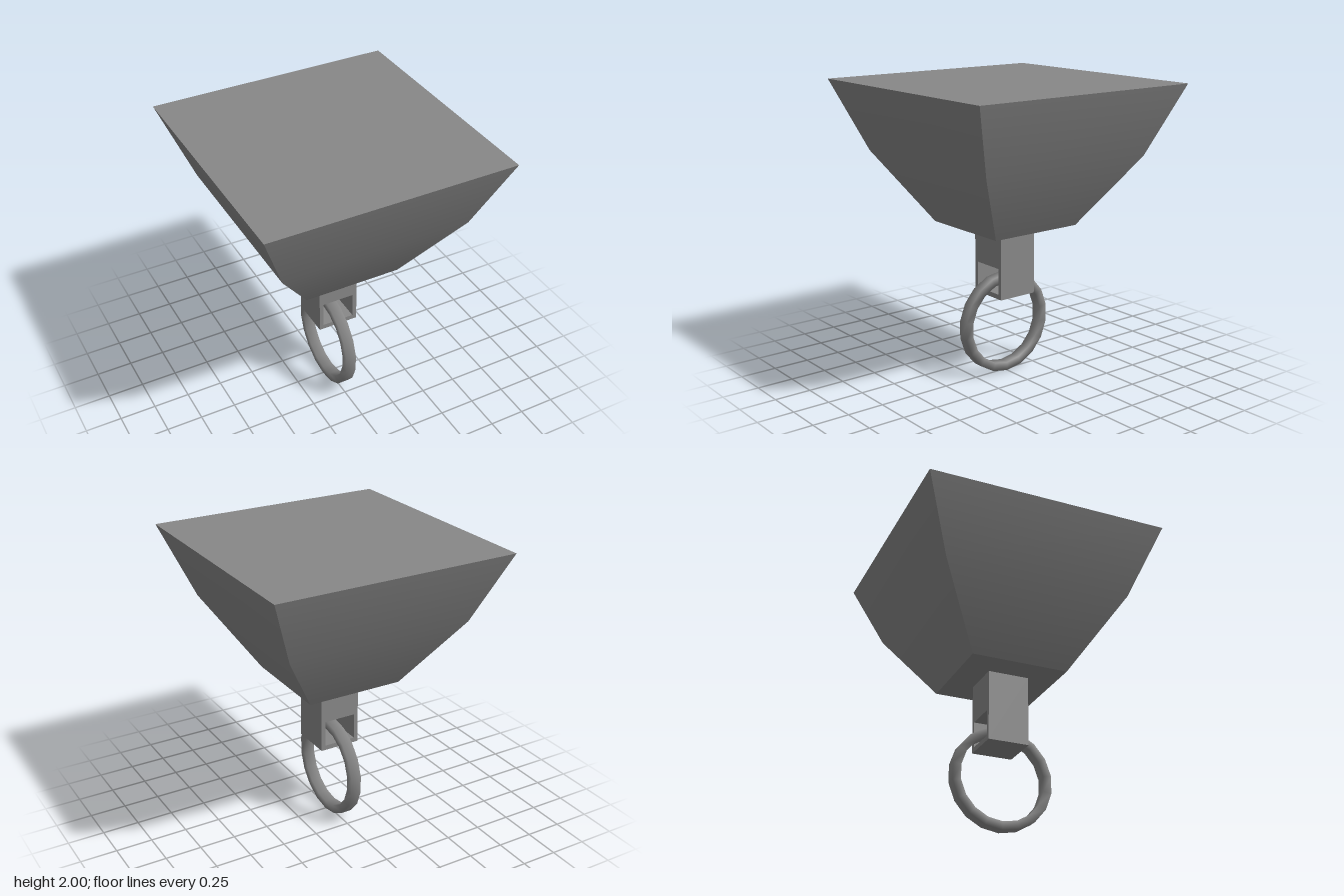
import * as THREE from 'three';
import { mergeVertices } from 'three/addons/utils/BufferGeometryUtils.js';

const material = new THREE.MeshStandardMaterial({ color: 0x888888 });

function addPart(group, name, geometry) {
  const mesh = new THREE.Mesh(geometry, material);
  mesh.name = name;
  group.add(mesh);
}

// Square block flaring upwards, with one soft bend in its sides
function headGeometry() {
  const bottom = 1.047, bend = 1.525, top = 2;
  const rings = new THREE.CylinderGeometry(0.835 * Math.SQRT2, 0.335 * Math.SQRT2, 2, 4, 2);
  rings.rotateY(Math.PI / 4);
  const geo = rings.toNonIndexed();
  const pos = geo.attributes.position;
  const scale = 0.645 / 0.585; // widens the middle ring to the bend
  for (let i = 0; i < pos.count; i++) {
    const y = pos.getY(i);
    if (Math.abs(y) < 0.01) pos.setXYZ(i, pos.getX(i) * scale, bend, pos.getZ(i) * scale);
    else pos.setY(i, y > 0 ? top : bottom);
  }
  geo.computeVertexNormals();

  // Share one normal across the bend, keeping the four corners sharp
  const normal = geo.attributes.normal;
  const tilt = (Math.atan2(0.19, top - bend) + Math.atan2(0.31, bend - bottom)) / 2;
  for (let i = 0; i < pos.count; i++) {
    if (Math.abs(pos.getY(i) - bend) > 0.01) continue;
    const nx = Math.round(normal.getX(i)), nz = Math.round(normal.getZ(i));
    normal.setXYZ(i, nx * Math.cos(tilt), -Math.sin(tilt), nz * Math.cos(tilt));
  }
  return geo;
}

function rectangle(Type, x0, x1, y0, y1) {
  return new Type([[x0, y0], [x1, y0], [x1, y1], [x0, y1]].map(([x, y]) => new THREE.Vector2(x, y)));
}

// Square post with a window cut through from front to back
function postGeometry() {
  const shape = rectangle(THREE.Shape, -0.142, 0.141, 0.564, 1.047);
  shape.holes.push(rectangle(THREE.Path, -0.113, 0.111, 0.597, 0.776));
  const geo = new THREE.ExtrudeGeometry(shape, { depth: 0.283, bevelEnabled: false });
  return geo.translate(0, 0, -0.1415);
}

// Four-sided section swept round the x axis in 18 steps, smoothly shaded
function ringGeometry() {
  const inner = 0.293, outer = 0.351, half = 0.037;
  const section = [[inner, -half], [outer, -half], [outer, half], [inner, half], [inner, -half]];
  const lathe = new THREE.LatheGeometry(section.map(([r, y]) => new THREE.Vector2(r, y)), 18, Math.PI / 2);
  lathe.deleteAttribute('uv');
  lathe.deleteAttribute('normal');
  const geo = mergeVertices(lathe);
  geo.computeVertexNormals();
  return geo.rotateZ(Math.PI / 2).translate(-0.008, outer, 0);
}

export function createModel() {
  const group = new THREE.Group();
  group.name = 'hangingRingBlock';
  addPart(group, 'head', headGeometry());
  addPart(group, 'post', postGeometry());
  addPart(group, 'ring', ringGeometry());
  return group;
}
